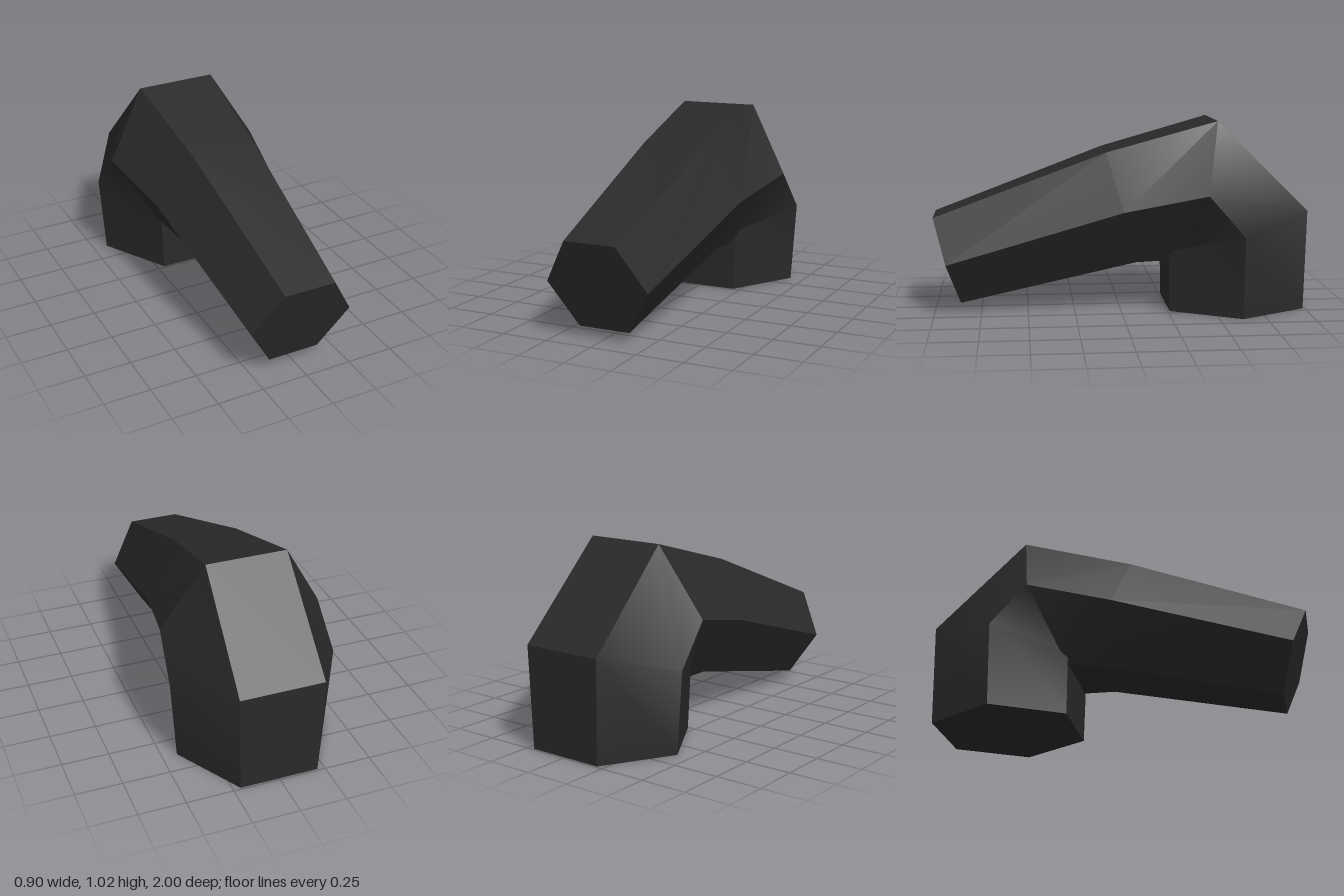
import * as THREE from 'three';
import { toCreasedNormals } from 'three/addons/utils/BufferGeometryUtils.js';

// Hexagonal rings along the bend: [half width, y, z] for outer, side and inner corners
const RINGS = [
  [[0.14, 0.515, 1.0], [0.28, 0.284, 0.93], [0.14, 0.052, 0.86]], // tip
  [[0.18, 0.86, 0.08], [0.357, 0.563, 0.0], [0.18, 0.266, -0.08]], // middle
  [[0.217, 1.025, -0.51], [0.435, 0.655, -0.435], [0.217, 0.285, -0.36]], // elbow
  [[0.225, 0.542, -1.0], [0.45, 0.438, -0.625], [0.225, 0.335, -0.255]], // lower bend
  [[0.21, 0, -0.99], [0.42, 0, -0.625], [0.21, 0, -0.26]], // base
];

// Skins mirrored half rings into a closed tube with flat caps
function bentTube(rings) {
  const points = [];
  for (const half of rings) {
    for (const [x, y, z] of half) points.push(x, y, z);
    for (const [x, y, z] of [...half].reverse()) points.push(-x, y, z);
  }
  const index = [];
  const last = (rings.length - 1) * 6;
  for (let r = 0; r < last; r += 6) {
    for (let j = 0; j < 6; j++) {
      const k = (j + 1) % 6;
      const a = r + j, b = r + k, c = r + 6 + k, d = r + 6 + j;
      index.push(a, b, d, b, c, d);
    }
  }
  for (let j = 1; j < 5; j++) {
    index.push(0, j + 1, j); // tip cap
    index.push(last, last + j, last + j + 1); // base cap
  }
  const geometry = new THREE.BufferGeometry();
  geometry.setAttribute('position', new THREE.Float32BufferAttribute(points, 3));
  geometry.setIndex(index);
  return toCreasedNormals(geometry, 0.6);
}

export function createModel() {
  const group = new THREE.Group();
  group.name = 'bentPipe';
  const charcoal = new THREE.MeshStandardMaterial({ color: 0x2a2a2a });
  charcoal.name = 'charcoal';
  const tube = new THREE.Mesh(bentTube(RINGS), charcoal);
  tube.name = 'hexagonalTube';
  group.add(tube);
  return group;
}
